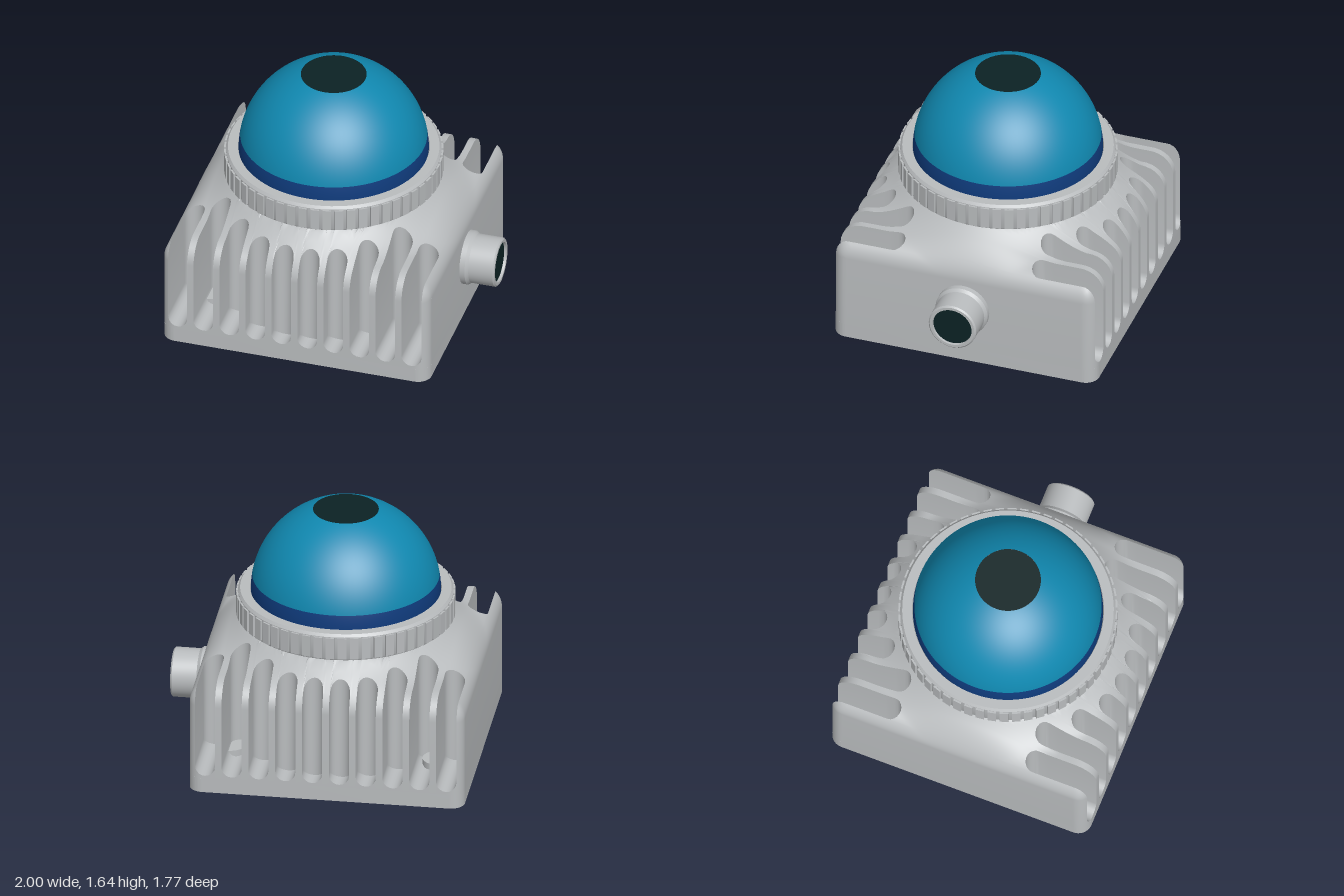
import * as THREE from 'three';
import { mergeGeometries, toCreasedNormals } from 'three/addons/utils/BufferGeometryUtils.js';

const CX = -0.112;              // housing axis
const HX = 0.887, HZ = 0.885;   // housing half sizes
const R = 0.09;                 // corner radius in plan
const W = 0.065, PITCH = 0.173; // cooling slot half width and spacing
const FLOORS = [0.43, 0.43, 0.61, 0.73, 0.77, 0.77, 0.73, 0.61, 0.43, 0.43];

const material = (name, color) => {
  const m = new THREE.MeshStandardMaterial({ color });
  m.name = name;
  return m;
};

// distance inward from the rounded rectangular outline
function inset(x, z) {
  const qx = Math.abs(x) - HX + R, qz = Math.abs(z) - HZ + R;
  const d = R - Math.min(Math.max(qx, qz), 0) - Math.hypot(Math.max(qx, 0), Math.max(qz, 0));
  return Math.max(d, 0);
}

// half depth of the outline at x
function edgeAt(x) {
  const q = Math.max(Math.abs(x) - HX + R, 0);
  return HZ - R + Math.sqrt(Math.max(R * R - q * q, 0));
}

// rounded shoulder that sweeps up into a round neck
function topHeight(x, z) {
  const e = 1 - Math.min(inset(x, z) / 0.15, 1);
  const t = THREE.MathUtils.clamp((0.9 - Math.hypot(x, z)) / 0.25, 0, 1);
  return Math.min(0.61 + 0.15 * Math.sqrt(1 - e * e) + 0.17 * Math.pow(t, 1.5), 0.915);
}

// housing as columns of points running back to front, with slots cut in
function housingGeometry() {
  const cols = [];
  const add = (x, zf, slotY = null, skirt = false) => {
    const edge = edgeAt(x), outer = [], inner = [];
    const n = 12, m = 36;
    outer.push([edge, 0.1]);
    for (let k = 0; k <= n; k++) {
      const z = edge - (edge - zf) * (k / n) ** 2;
      const h = topHeight(x, z);
      outer.push([z, skirt ? 0.1 : slotY === null ? h : Math.min(slotY, h)]);
    }
    for (let k = 0; k <= m; k++) {
      const z = -zf + (2 * zf * k) / m;
      inner.push([z, skirt ? 0.1 : topHeight(x, z)]);
    }
    const back = outer.map(([z, y]) => [-z, y]);
    cols.push([...back, ...inner, ...outer.reverse()].map(([z, y]) => [x, y, z]));
  };

  const first = -4.5 * PITCH - W, margin = HX + first;
  const rim = FLOORS[0] + W;
  add(-HX, rim, null, true);
  for (let k = 0; k <= 7; k++) add(-HX + margin * (k / 7) ** 2, rim);
  FLOORS.forEach((f, i) => {
    const c = (i - 4.5) * PITCH;
    for (let k = 0; k <= 10; k++) {
      const a = (Math.PI * k) / 10, s = W * Math.sin(a);
      add(c - W * Math.cos(a), f + W - s, 0.185 - s);
    }
    if (i < 9) {
      for (let k = 0; k <= 4; k++) {
        const t = k / 4;
        add(c + W + t * (PITCH - 2 * W), THREE.MathUtils.lerp(f, FLOORS[i + 1], t) + W);
      }
    }
  });
  for (let k = 7; k >= 0; k--) add(HX - margin * (k / 7) ** 2, rim);
  add(HX, rim, null, true);

  const n = cols[0].length, index = [];
  for (let i = 0; i < cols.length - 1; i++) {
    for (let j = 0; j < n - 1; j++) {
      const a = i * n + j, b = a + 1, c = a + n, d = c + 1;
      index.push(a, b, c, b, d, c);
    }
  }
  const g = new THREE.BufferGeometry();
  g.setAttribute('position', new THREE.Float32BufferAttribute(cols.flat(2), 3));
  g.setIndex(index);
  return toCreasedNormals(g, 0.6);
}

function roundedOutline() {
  const s = new THREE.Shape();
  const x = HX - R, z = HZ - R;
  s.absarc(x, z, R, 0, Math.PI / 2);
  s.absarc(-x, z, R, Math.PI / 2, Math.PI);
  s.absarc(-x, -z, R, Math.PI, Math.PI * 1.5);
  s.absarc(x, -z, R, Math.PI * 1.5, Math.PI * 2);
  s.closePath();
  return s;
}

const lathe = (pts, seg = 96) => toCreasedNormals(
  new THREE.LatheGeometry(pts.map(([r, y]) => new THREE.Vector2(r, y)), seg), 0.5);

export function createModel() {
  const grey = material('housing grey', 0xb9bcbe);
  const teal = material('dome teal', 0x1088b0);
  const navy = material('band navy', 0x0f3b7c);
  const dark = material('opening dark', 0x0c2224);

  const model = new THREE.Group();
  const body = new THREE.Group();
  body.name = 'sensorUnit';
  body.position.x = CX;
  model.add(body);
  const part = (name, geometry, mat, x = 0, y = 0, z = 0) => {
    const mesh = new THREE.Mesh(geometry, mat);
    mesh.name = name;
    mesh.position.set(x, y, z);
    body.add(mesh);
    return mesh;
  };

  part('finnedHousing', housingGeometry(), grey);

  // base plate with mounting holes
  const outline = roundedOutline();
  const hole = (x, z, half = 0) => {
    const p = new THREE.Path();
    p.absarc(x + half, -z, 0.03, -Math.PI / 2, Math.PI / 2);
    p.absarc(x - half, -z, 0.03, Math.PI / 2, Math.PI * 1.5);
    p.closePath();
    outline.holes.push(p);
  };
  for (const sx of [-1, 1]) for (const sz of [-1, 1]) hole(sx * 0.69, sz * 0.54);
  hole(0, 0.46);
  hole(0, -0.71, 0.025);
  const plate = new THREE.ExtrudeGeometry(outline, { depth: 0.097, bevelEnabled: false, curveSegments: 10 });
  plate.rotateX(-Math.PI / 2);
  part('basePlate', toCreasedNormals(plate, 0.5), grey, 0, 0.003, 0);

  // corner screws below and their bosses in the slots
  for (const sx of [-1, 1]) {
    for (const sz of [-1, 1]) {
      part('cornerScrew', new THREE.CylinderGeometry(0.05, 0.05, 0.03, 24), dark, sx * 0.81, 0.015, sz * 0.81);
      part('screwBoss', new THREE.CylinderGeometry(0.1, 0.1, 0.065, 24, 1, false, sx < 0 ? 0 : Math.PI, Math.PI),
        grey, sx * 0.67, 0.1325, sz * 0.5);
    }
  }

  // clamp ring with grip ribs
  part('clampRing', lathe([[0.6, 0.905], [0.68, 0.905], [0.688, 0.92], [0.688, 1.07], [0.675, 1.088],
    [0.612, 1.088], [0.606, 1.07]]), grey);
  const ribs = [];
  for (let i = 0; i < 56; i++) {
    const rib = new THREE.BoxGeometry(0.055, 0.145, 0.03);
    rib.translate(0, 0.993, 0.685);
    ribs.push(rib.rotateY((i / 56) * Math.PI * 2));
  }
  part('gripRibs', mergeGeometries(ribs), grey);

  // dome: navy band, teal shell, flat dark cap
  const r = 0.607, bandEnd = Math.acos(0.105 / r), capStart = Math.asin(0.21 / r);
  const zone = (from, to, rows) =>
    new THREE.SphereGeometry(r, 96, rows, 0, Math.PI * 2, from, to - from);
  part('domeBand', zone(bandEnd, Math.PI / 2, 6), navy, 0, 1.075, 0);
  part('domeShell', zone(capStart, bandEnd, 28), teal, 0, 1.075, 0);
  const cap = new THREE.CircleGeometry(0.21, 64);
  cap.rotateX(-Math.PI / 2);
  part('domeCap', cap, dark, 0, 1.075 + r * Math.cos(capStart), 0);

  // side cable connector
  const connector = lathe([[0.175, -0.02], [0.175, 0.035], [0.16, 0.055], [0.16, 0.215], [0.15, 0.225],
    [0.132, 0.225], [0.128, 0.19]], 48);
  connector.rotateZ(-Math.PI / 2);
  part('cableConnector', connector, grey, 0.887, 0.4, 0);
  const bore = new THREE.CircleGeometry(0.13, 48);
  bore.rotateY(Math.PI / 2);
  part('connectorOpening', bore, dark, 1.095, 0.4, 0);

  return model;
}
